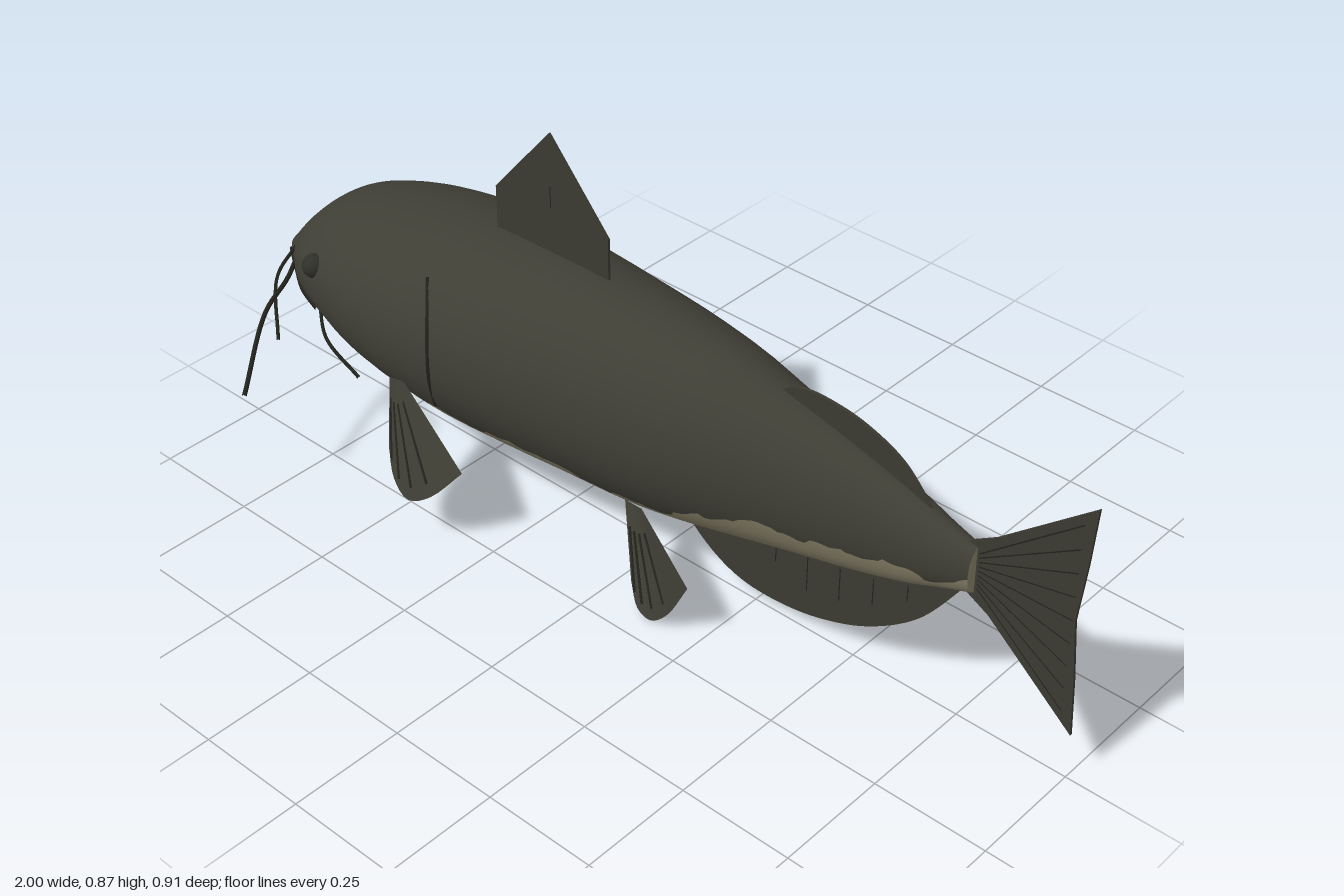
import * as THREE from 'three';

const mat = (name, color, side = THREE.FrontSide) => {
  const m = new THREE.MeshStandardMaterial({ color, side });
  m.name = name;
  return m;
};
const V = (x, y, z) => new THREE.Vector3(x, y, z);

// Body stations: x, back height, belly height, half width, edge of the pale belly
const STATIONS = [
  [-1, 0.405, 0.34, 0.11, 0.335], [-0.96, 0.455, 0.295, 0.14, 0.295], [-0.9, 0.5, 0.248, 0.18, 0.31],
  [-0.8, 0.537, 0.211, 0.213, 0.272], [-0.7, 0.56, 0.185, 0.236, 0.268], [-0.58, 0.58, 0.161, 0.245, 0.262],
  [-0.45, 0.593, 0.142, 0.24, 0.24], [-0.3, 0.597, 0.138, 0.223, 0.236], [-0.15, 0.597, 0.138, 0.202, 0.232],
  [0, 0.592, 0.14, 0.182, 0.208], [0.1, 0.583, 0.152, 0.167, 0.215], [0.2, 0.57, 0.17, 0.147, 0.268],
  [0.35, 0.538, 0.2, 0.112, 0.3], [0.5, 0.501, 0.23, 0.08, 0.315], [0.62, 0.465, 0.262, 0.057, 0.322],
  [0.7, 0.438, 0.292, 0.041, 0.325], [0.765, 0.42, 0.315, 0.028, 0.36],
];
const curveA = new THREE.CatmullRomCurve3(STATIONS.map(s => V(s[0], s[1], s[2])), false, 'catmullrom');
const curveB = new THREE.CatmullRomCurve3(STATIONS.map(s => V(s[0], s[3], s[4])), false, 'catmullrom');

function section(t) {
  const a = curveA.getPoint(t), b = curveB.getPoint(t);
  return { x: a.x, cy: (a.y + a.z) / 2, h: (a.y - a.z) / 2, w: b.y, edge: b.z };
}

// Point on the body skin at a given x and height
function onBody(x, y, side, out = 0) {
  let lo = 0, hi = 1;
  for (let i = 0; i < 24; i++) {
    const mid = (lo + hi) / 2;
    if (section(mid).x < x) lo = mid; else hi = mid;
  }
  const s = section(lo), k = (y - s.cy) / s.h;
  return V(x, y, side * (s.w * Math.sqrt(Math.max(0, 1 - k * k)) + out));
}

// Closed skin with a ragged seam between dark back and pale belly
function bodyGeometry() {
  const rings = 180, upper = 36, lower = 20, n = upper + lower;
  const pos = [], back = [], belly = [];
  const ragged = (x, p) => 0.006 * Math.sin(x * 23 + p) + 0.005 * Math.sign(Math.sin(x * 41 + p * 2))
    + 0.003 * Math.sin(x * 97 + p * 3);
  for (let i = 0; i <= rings; i++) {
    const s = section(i / rings);
    const fade = Math.min(1, Math.max(0, (s.x + 0.98) * 8)) * Math.min(1, (0.77 - s.x) * 8);
    const angle = p => Math.acos(THREE.MathUtils.clamp((s.edge + fade * ragged(s.x, p) - s.cy) / s.h, -0.995, 0.995));
    const a0 = -angle(2.1), a1 = angle(0.4);
    for (let j = 0; j < n; j++) {
      const a = j <= upper ? a0 + (a1 - a0) * j / upper
        : a1 + (a0 + Math.PI * 2 - a1) * (j - upper) / lower;
      pos.push(s.x, s.cy + s.h * Math.cos(a), s.w * Math.sin(a));
    }
    if (i === rings) break;
    for (let j = 0; j < n; j++) {
      const a = i * n + j, b = i * n + (j + 1) % n;
      (j < upper ? back : belly).push(a, b, a + n, b, b + n, a + n);
    }
  }
  const g = new THREE.BufferGeometry();
  g.setAttribute('position', new THREE.Float32BufferAttribute(pos, 3));
  g.setIndex([...back, ...belly]);
  g.addGroup(0, back.length, 0);
  g.addGroup(back.length, belly.length, 1);
  g.computeVertexNormals();
  return g;
}

// Flat fan from a root edge to a rim
function fanGeometry(root, rim) {
  const pos = [], idx = [], n = rim.length;
  rim.forEach((p, i) => {
    const r = root[0].clone().lerp(root[1], i / (n - 1));
    pos.push(r.x, r.y, r.z, p.x, p.y, p.z);
    if (i) idx.push(2 * i - 2, 2 * i - 1, 2 * i, 2 * i - 1, 2 * i + 1, 2 * i);
  });
  const g = new THREE.BufferGeometry();
  g.setAttribute('position', new THREE.Float32BufferAttribute(pos, 3));
  g.setIndex(idx);
  g.computeVertexNormals();
  return g;
}

export function createModel() {
  const fish = new THREE.Group();
  fish.name = 'catfish';
  const skin = mat('dark olive skin', 0x3f3e35);
  const pale = mat('pale belly', 0x857e66);
  const fin = mat('fin', 0x3b3b32, THREE.DoubleSide);
  const dark = mat('dark detail', 0x23231d);
  const eyeMat = mat('eye', 0x30302a);

  const add = (name, geo, material) => {
    const m = new THREE.Mesh(geo, material);
    m.name = name;
    fish.add(m);
    return m;
  };
  const tube = (name, pts, r, material = dark, seg = 20) =>
    add(name, new THREE.TubeGeometry(new THREE.CatmullRomCurve3(pts), seg, r, 6), material);

  // Body and its two flat ends
  add('body', bodyGeometry(), [skin, pale]);
  for (const [t, name, m] of [[0, 'snoutEnd', dark], [1, 'tailStemEnd', pale]]) {
    const s = section(t);
    const cap = add(name, new THREE.CircleGeometry(1, 32), m);
    cap.scale.set(s.w, s.h, 1);
    cap.rotation.y = t ? Math.PI / 2 : -Math.PI / 2;
    cap.position.set(s.x, s.cy, 0);
  }

  // Upright fins on the centre line
  const plate = (name, shape) => {
    const g = new THREE.ExtrudeGeometry(shape, { depth: 0.006, bevelEnabled: false, curveSegments: 20 });
    add(name, g.translate(0, 0, -0.003), fin);
  };
  const poly = pts => new THREE.Shape(pts.map(p => new THREE.Vector2(...p)));
  const curved = (pts, root) => {
    const s = new THREE.Shape();
    s.moveTo(...pts[0]);
    s.splineThru(pts.slice(1).map(p => new THREE.Vector2(...p)));
    root.forEach(p => s.lineTo(...p));
    return s;
  };
  plate('dorsalFin', poly([[-0.455, 0.56], [-0.145, 0.56], [-0.145, 0.69], [-0.3, 0.868], [-0.455, 0.69]]));
  plate('adiposeFin', curved([[0.29, 0.54], [0.34, 0.57], [0.41, 0.576], [0.5, 0.562], [0.59, 0.522], [0.66, 0.45]],
    [[0.6, 0.42], [0.4, 0.48]]));
  plate('analFin', curved([[0.03, 0.16], [0.11, 0.085], [0.19, 0.042], [0.28, 0.03], [0.4, 0.045], [0.53, 0.095],
    [0.65, 0.185], [0.745, 0.315]], [[0.7, 0.33], [0.4, 0.25], [0.1, 0.2]]));
  plate('tailFin', poly([[0.745, 0.31], [0.8, 0.28], [1, 0.108], [0.992, 0.24], [0.98, 0.37], [0.992, 0.5],
    [1, 0.63], [0.8, 0.46], [0.745, 0.425]]));

  // Fin rays
  for (let i = 0; i < 9; i++) {
    const k = i / 4 - 1;
    tube('tailRay', [V(0.77, 0.368 + k * 0.04, 0), V(0.975, 0.369 + k * 0.215, 0)], 0.0038, dark, 1);
  }
  for (const [x, top, low] of [[0.3, 0.17, 0.13], [0.38, 0.185, 0.1], [0.46, 0.2, 0.12], [0.54, 0.22, 0.155], [0.62, 0.25, 0.21]])
    tube('analRay', [V(x, top, 0), V(x, low, 0)], 0.0038, dark, 1);
  tube('dorsalRay', [V(-0.3, 0.7, 0), V(-0.3, 0.75, 0)], 0.0038, dark, 1);

  for (const side of [1, -1]) {
    const P = (x, y, z) => V(x, y, z * side);
    // Paired fins with rays
    const pairedFin = (name, root, rim) => {
      const edge = new THREE.CatmullRomCurve3(rim).getPoints(16);
      add(name, fanGeometry(root, edge), fin);
      for (const i of [3, 6, 9, 12]) {
        const r = root[0].clone().lerp(root[1], i / 16);
        tube(name + 'Ray', [r.clone().lerp(edge[i], 0.25), r.clone().lerp(edge[i], 0.9)], 0.003, dark, 1);
      }
    };
    pairedFin('pectoralFin', [P(-0.585, 0.27, 0.21), P(-0.55, 0.305, 0.22)],
      [P(-0.51, 0.165, 0.29), P(-0.46, 0.128, 0.325), P(-0.4, 0.112, 0.342), P(-0.35, 0.135, 0.325), P(-0.305, 0.19, 0.275)]);
    pairedFin('pelvicFin', [P(-0.02, 0.17, 0.095), P(0.03, 0.175, 0.1)],
      [P(0.065, 0.05, 0.17), P(0.1, 0.012, 0.19), P(0.135, 0.002, 0.192), P(0.18, 0.04, 0.192), P(0.235, 0.14, 0.192)]);

    // Barbels
    tube('longBarbel', [P(-0.94, 0.39, 0.14), P(-0.91, 0.365, 0.2), P(-0.88, 0.335, 0.29), P(-0.77, 0.253, 0.45)], 0.005);
    tube('middleBarbel', [P(-0.955, 0.4, 0.13), P(-0.925, 0.37, 0.215), P(-0.82, 0.3, 0.31)], 0.004);
    tube('chinBarbel', [P(-0.86, 0.3, 0.16), P(-0.79, 0.265, 0.205), P(-0.68, 0.22, 0.215)], 0.004);

    // Eye, mouth line and gill line
    const eye = add('eye', new THREE.SphereGeometry(0.027, 20, 14), eyeMat);
    eye.position.copy(onBody(-0.83, 0.425, side, -0.006));
    tube('mouthLine', [[-0.995, 0.365], [-0.95, 0.345], [-0.9, 0.325], [-0.85, 0.302]]
      .map(([x, y]) => onBody(x, y, side)), 0.008);
    tube('gillLine', [[-0.495, 0.53], [-0.455, 0.48], [-0.435, 0.42], [-0.43, 0.35], [-0.445, 0.26]]
      .map(([x, y]) => onBody(x, y, side)), 0.004, dark, 30);
  }
  return fish;
}
